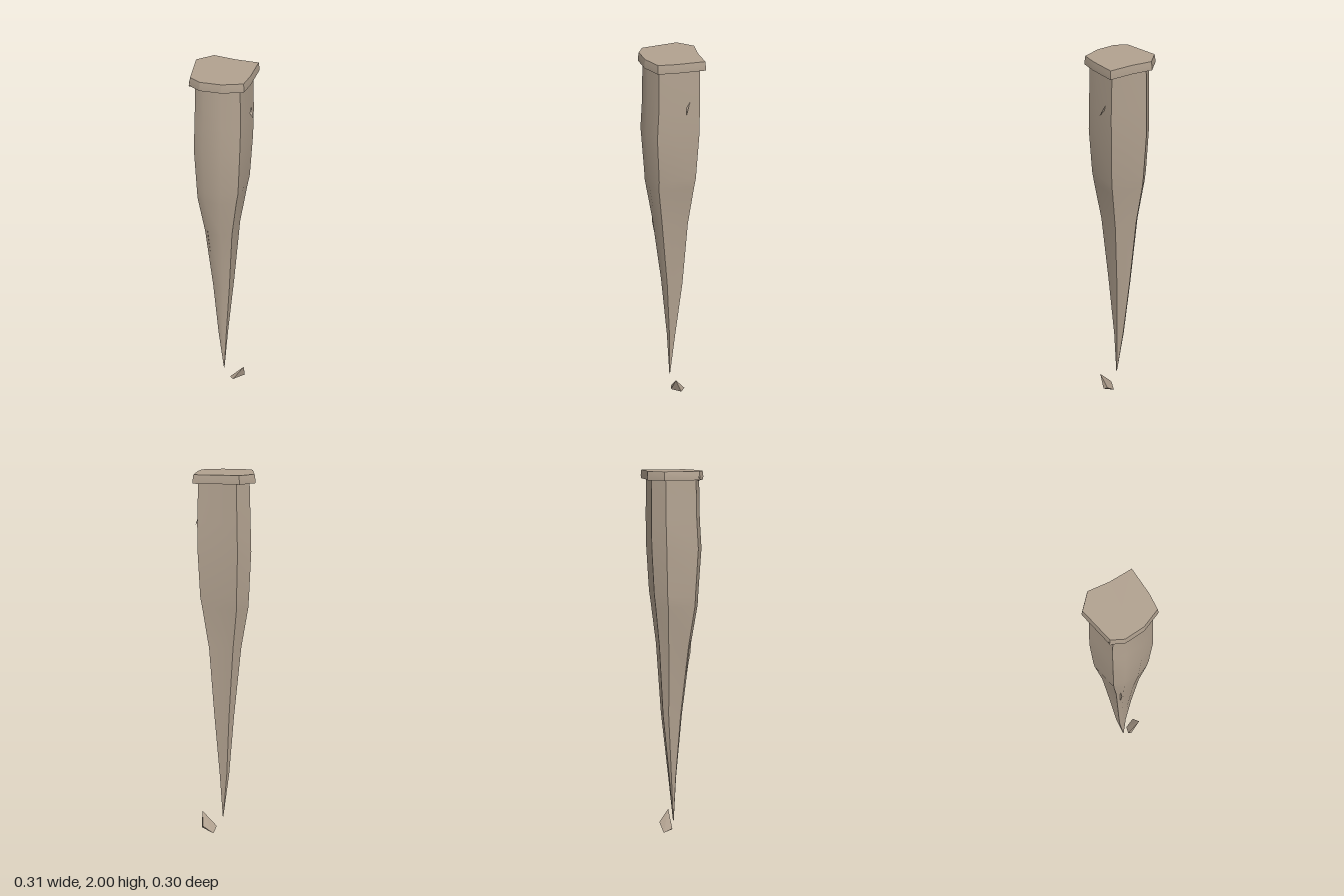
import * as THREE from 'three';
import { toCreasedNormals } from 'three/addons/utils/BufferGeometryUtils.js';
import { ConvexGeometry } from 'three/addons/geometries/ConvexGeometry.js';

// Irregular outline [x, z], clockwise from above
const OUTLINE = [[-0.16, -0.08], [-0.085, -0.15], [0.025, -0.133], [0.152, -0.13],
  [0.148, 0.02], [0.135, 0.108], [0.033, 0.145], [-0.075, 0.147], [-0.135, 0.112]];

// Fit the outline into the box x0..x1, z0..z1 at height y
function ring(y, x0, x1, z0, z1) {
  return OUTLINE.map(([x, z]) => [
    x0 + (x1 - x0) * (x + 0.16) / 0.312, y,
    z0 + (z1 - z0) * (z + 0.15) / 0.297]);
}

// Skin a stack of rings, bottom to top, and close both ends
function loft(rings, crease) {
  const pos = [];
  const n = OUTLINE.length;
  const mid = r => [0, 1, 2].map(k => r.reduce((s, p) => s + p[k], 0) / n);
  const bottom = rings[0], top = rings[rings.length - 1];
  const cb = mid(bottom), ct = mid(top);
  for (let i = 0; i < n; i++) {
    const j = (i + 1) % n;
    for (let k = 0; k + 1 < rings.length; k++) {
      const lo = rings[k], up = rings[k + 1];
      pos.push(...lo[i], ...up[i], ...up[j], ...lo[i], ...up[j], ...lo[j]);
    }
    pos.push(...ct, ...top[j], ...top[i], ...cb, ...bottom[i], ...bottom[j]);
  }
  const g = new THREE.BufferGeometry();
  g.setAttribute('position', new THREE.Float32BufferAttribute(pos, 3));
  g.computeVertexNormals();
  return toCreasedNormals(g, crease);
}

export function createModel() {
  const group = new THREE.Group();
  const stone = new THREE.MeshStandardMaterial({ color: 0xb2a290 });
  stone.name = 'warm grey stone';

  const add = (name, geometry) => {
    const mesh = new THREE.Mesh(geometry, stone);
    mesh.name = name;
    group.add(mesh);
  };
  const shard = (name, points) =>
    add(name, new ConvexGeometry(points.map(p => new THREE.Vector3(...p))));

  // Tapering shaft: y, x range, z range
  add('shaft', loft([
    [0.09, 0.013, 0.016, 0.010, 0.014],
    [0.35, -0.021, 0.030, -0.017, 0.022],
    [0.70, -0.050, 0.055, -0.055, 0.050],
    [1.08, -0.088, 0.080, -0.080, 0.092],
    [1.30, -0.125, 0.112, -0.105, 0.125],
    [1.36, -0.129, 0.122, -0.112, 0.128],
    [1.60, -0.140, 0.133, -0.126, 0.143],
    [1.75, -0.136, 0.134, -0.127, 0.134],
    [1.96, -0.130, 0.128, -0.126, 0.130],
  ].map(r => ring(...r)), 0.6));

  // Flat head slab with slightly narrowed rim
  add('head', loft([
    ring(1.955, -0.160, 0.153, -0.151, 0.148),
    ring(1.975, -0.160, 0.153, -0.151, 0.148),
    ring(2.0, -0.156, 0.150, -0.148, 0.145),
  ], 0.3));

  // Chip under the head corner, splinters on the faces
  shard('headChip', [[-0.137, 1.956, 0.118], [-0.138, 1.975, 0.104],
    [-0.112, 1.975, 0.12], [-0.12, 1.95, 0.105]]);
  shard('sideSplinter', [[0.128, 1.80, -0.062], [0.152, 1.73, -0.034],
    [0.128, 1.765, -0.04], [0.125, 1.77, -0.055]]);
  shard('frontSplinter', [[-0.06, 1.14, 0.09], [-0.045, 0.92, 0.068],
    [-0.051, 1.05, 0.09], [-0.057, 1.03, 0.072]]);

  // Broken fragment beside the tip
  shard('fragment', [[0.13, 0.12, 0.012], [0.05, 0.03, 0.015], [0.065, 0.005, -0.03],
    [0.13, 0.035, -0.02], [0.12, 0.05, -0.042], [0.07, 0.02, 0.02]]);

  return group;
}
